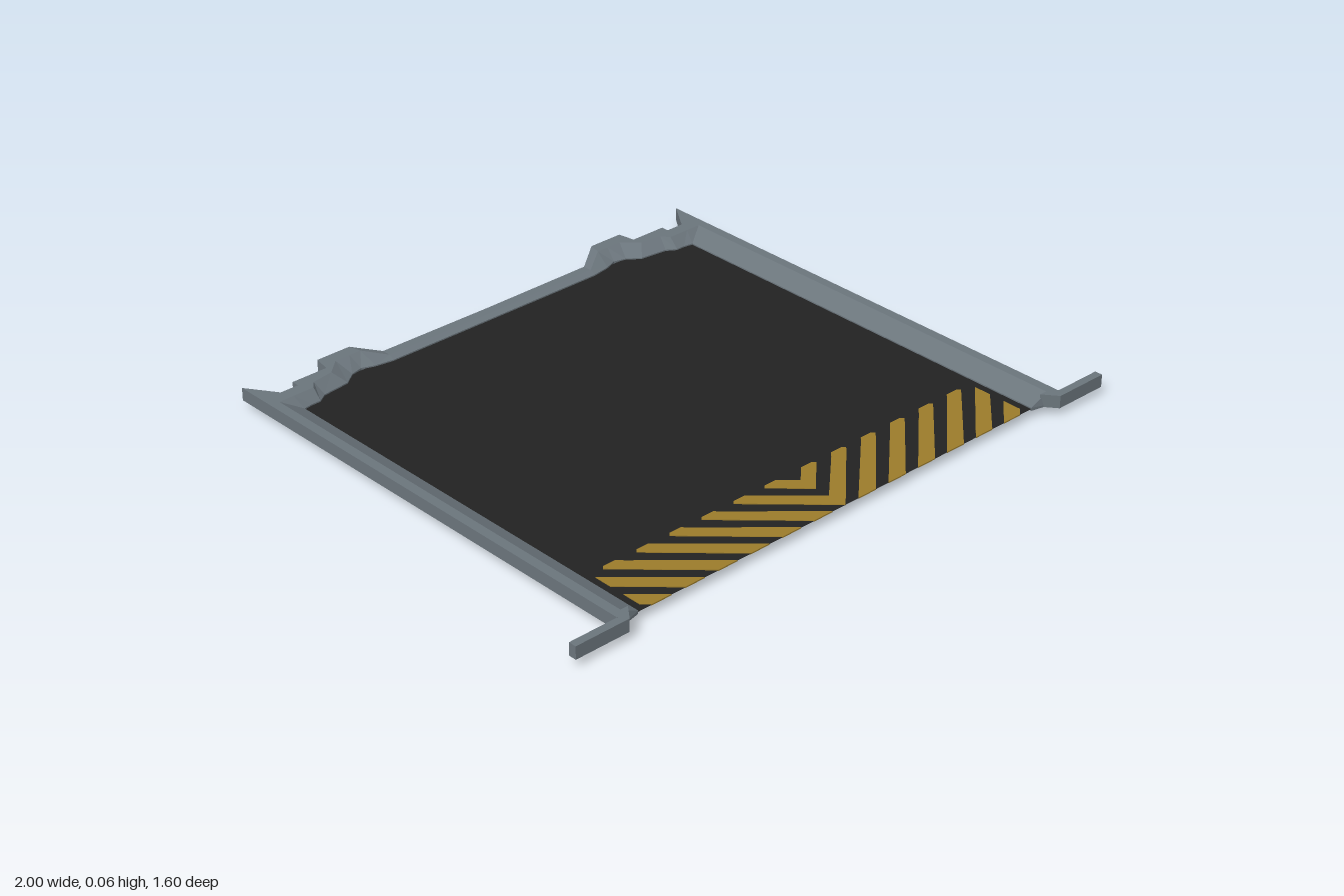
import * as THREE from 'three';

const grey = new THREE.MeshStandardMaterial({ name: 'frame grey', color: 0x6b757c, flatShading: true });
const black = new THREE.MeshStandardMaterial({ name: 'floor black', color: 0x222222, side: THREE.DoubleSide });
const yellow = new THREE.MeshStandardMaterial({ name: 'hazard yellow', color: 0x9c7c2b });

const FLOOR_Y = 0.031;
const BASE = 0.025;
const TOP = 0.065;

function mesh(name, geometry, material) {
  const m = new THREE.Mesh(geometry, material);
  m.name = name;
  return m;
}

// Upright prism from an outline of [x, z] points
function prism(points, y0, y1) {
  const shape = new THREE.Shape(points.map(([x, z]) => new THREE.Vector2(x, -z)));
  const g = new THREE.ExtrudeGeometry(shape, { depth: y1 - y0, bevelEnabled: false });
  return g.rotateX(-Math.PI / 2).translate(0, y0, 0);
}

// Half of the rim: outer, ridge and inner [x, z] at each station, then the top height
function rimGeometry() {
  const stations = [
    [[0, -0.73], [0, -0.7], [0, -0.68], 0.041],
    [[0.39, -0.73], [0.39, -0.7], [0.39, -0.68], 0.043],
    [[0.47, -0.785], [0.46, -0.745], [0.45, -0.69], TOP],
    [[0.53, -0.785], [0.5, -0.745], [0.49, -0.705], TOP],
    [[0.585, -0.785], [0.55, -0.745], [0.53, -0.695], TOP],
    [[0.585, -0.73], [0.6, -0.7], [0.57, -0.665], TOP],
    [[0.715, -0.73], [0.67, -0.69], [0.66, -0.655], TOP],
    [[0.715, -0.705], [0.69, -0.665], [0.69, -0.635], TOP],
    [[0.775, -0.705], [0.76, -0.665], [0.72, -0.635], TOP],
    [[0.84, -0.8], [0.81, -0.665], [0.75, -0.63], TOP],
    [[0.84, 0.775], [0.81, 0.76], [0.75, 0.755], TOP],
  ];
  const positions = [];
  const index = [];
  for (const [o, r, n, top] of stations) {
    positions.push(o[0], BASE, o[1], o[0], top, o[1], r[0], top, r[1]);
    positions.push(n[0], 0.035, n[1], n[0], BASE, n[1]);
  }
  for (let i = 0; i < stations.length - 1; i++) {
    for (let j = 0; j < 5; j++) {
      const a = i * 5 + j, d = i * 5 + (j + 1) % 5;
      const b = a + 5, c = d + 5;
      index.push(a, c, b, a, d, c);
    }
  }
  const last = (stations.length - 1) * 5;
  for (let j = 1; j < 4; j++) index.push(last, last + j, last + j + 1);
  const g = new THREE.BufferGeometry();
  g.setAttribute('position', new THREE.Float32BufferAttribute(positions, 3));
  g.setIndex(index);
  const flat = g.toNonIndexed();
  flat.computeVertexNormals();
  return flat;
}

// Keep the part of an outline where sign * coordinate <= sign * limit
function clip(points, axis, limit, sign) {
  const out = [];
  points.forEach((p, i) => {
    const q = points[(i + 1) % points.length];
    const dp = sign * (limit - p[axis]), dq = sign * (limit - q[axis]);
    if (dp >= 0) out.push(p);
    if (dp * dq < 0) {
      const t = dp / (dp - dq);
      out.push([p[0] + (q[0] - p[0]) * t, p[1] + (q[1] - p[1]) * t]);
    }
  });
  return out;
}

// Slanted hazard stripes of one half, cut to the front strip of the floor
function addStripes(parent) {
  const z0 = 0.54, z1 = 0.755, run = z1 - z0, c = 0.018;
  for (let k = 0; k < 8; k++) {
    const u = 0.065 + 0.117 * k, h = 0.034;
    let outline = [
      [u - h, z0 + c], [u - h + c, z0], [u + h - c / 2, z0], [u + h, z0 + c / 2],
      [u + h - c, z0 + c * 1.5], [u + h - run, z1], [u - h - run, z1],
    ];
    outline = clip(clip(outline, 0, 0, -1), 0, 0.725, 1);
    if (outline.length < 3) continue;
    parent.add(mesh('hazardStripe', prism(outline, FLOOR_Y - 0.002, FLOOR_Y + 0.002), yellow));
  }
}

export function createModel() {
  const model = new THREE.Group();
  model.name = 'floorPanel';

  // Thin floor sheet
  const floor = mesh('floor', new THREE.PlaneGeometry(1.51, 1.455).rotateX(-Math.PI / 2), black);
  floor.position.set(0, FLOOR_Y, 0.0275);
  model.add(floor);

  // Mirrored halves: rim, front arm, rear bracket and stripes
  const rim = rimGeometry();
  const arm = prism([[0.785, 0.755], [0.838, 0.755], [0.838, 0.775], [1, 0.775], [1, 0.8], [0.82, 0.8]], BASE, TOP);
  const bracket = prism([[0.39, -0.73], [0.465, -0.78], [0.465, -0.728]], 0, BASE);
  for (const side of [1, -1]) {
    const half = new THREE.Group();
    half.name = side > 0 ? 'leftHalf' : 'rightHalf';
    half.add(mesh('rim', rim, grey), mesh('frontArm', arm, grey), mesh('rearBracket', bracket, grey));
    addStripes(half);
    half.scale.x = side;
    model.add(half);
  }

  // Low strip below the rear edge
  const strip = mesh('rearStrip', new THREE.BoxGeometry(0.93, 0.026, 0.008), grey);
  strip.position.set(0, 0.013, -0.726);
  model.add(strip);

  return model;
}
